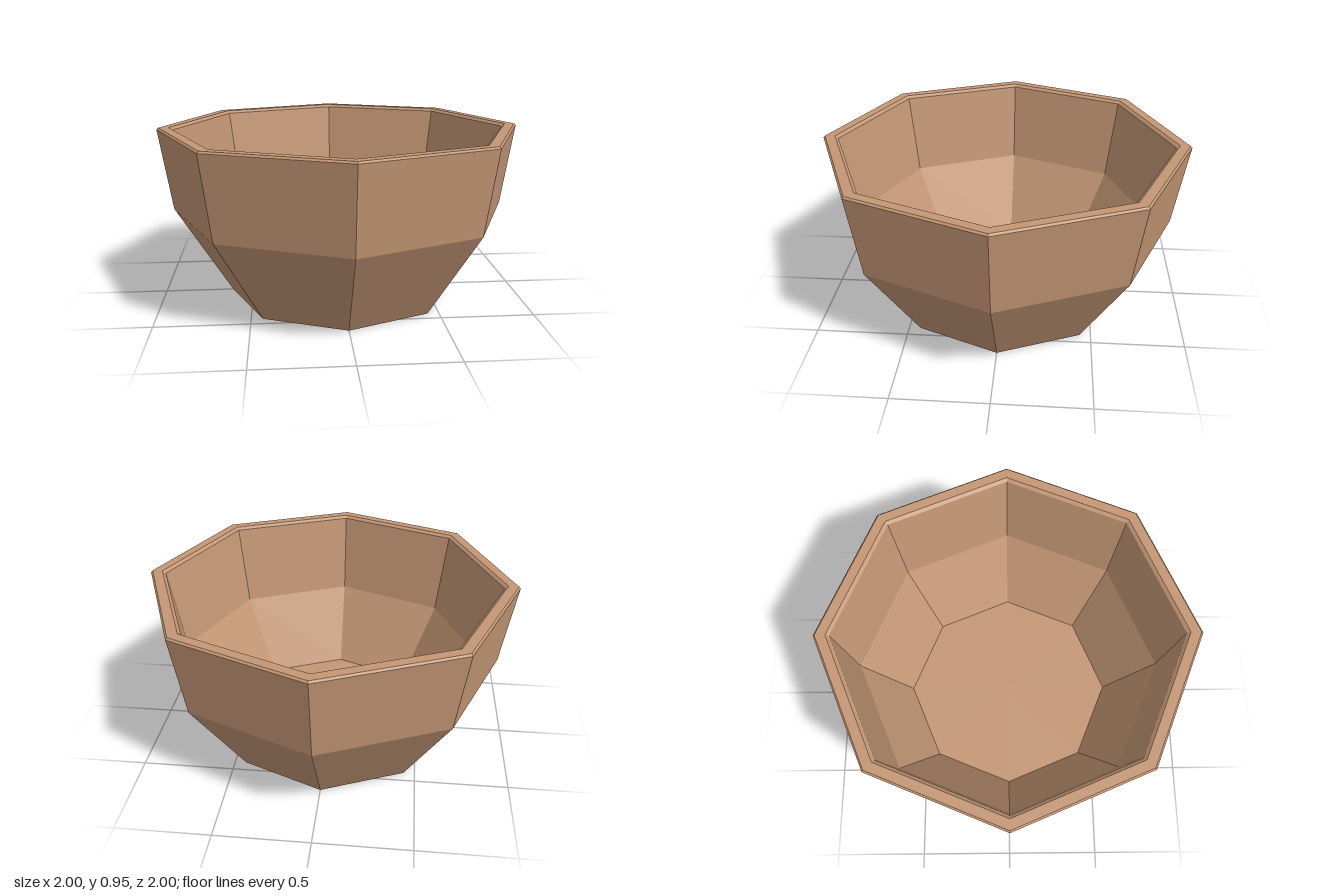
import * as THREE from 'three';

const SIDES = 8;

export function createModel() {
  const clay = new THREE.MeshStandardMaterial({ color: 0xc49775, flatShading: true });
  clay.name = 'clay';

  const bowl = new THREE.Group();
  bowl.name = 'bowl';

  // Revolve a [radius, height] profile into an octagonal band
  const addBand = (name, profile) => {
    const points = profile.map(([r, y]) => new THREE.Vector2(r, y));
    const mesh = new THREE.Mesh(new THREE.LatheGeometry(points, SIDES), clay);
    mesh.name = name;
    bowl.add(mesh);
  };

  // Flat base, flared lower wall and steeper upper wall
  addBand('outerWall', [[0, 0], [0.62, 0], [0.93, 0.49], [1, 0.94]]);
  // Flat lip with a small bevel on both edges
  addBand('rim', [[1, 0.94], [0.99, 0.95], [0.935, 0.95], [0.917, 0.936]]);
  // Hollow inside, following the outer wall down to the floor
  addBand('innerWall', [[0.917, 0.936], [0.84, 0.485], [0.59, 0.065], [0, 0.065]]);

  return bowl;
}
